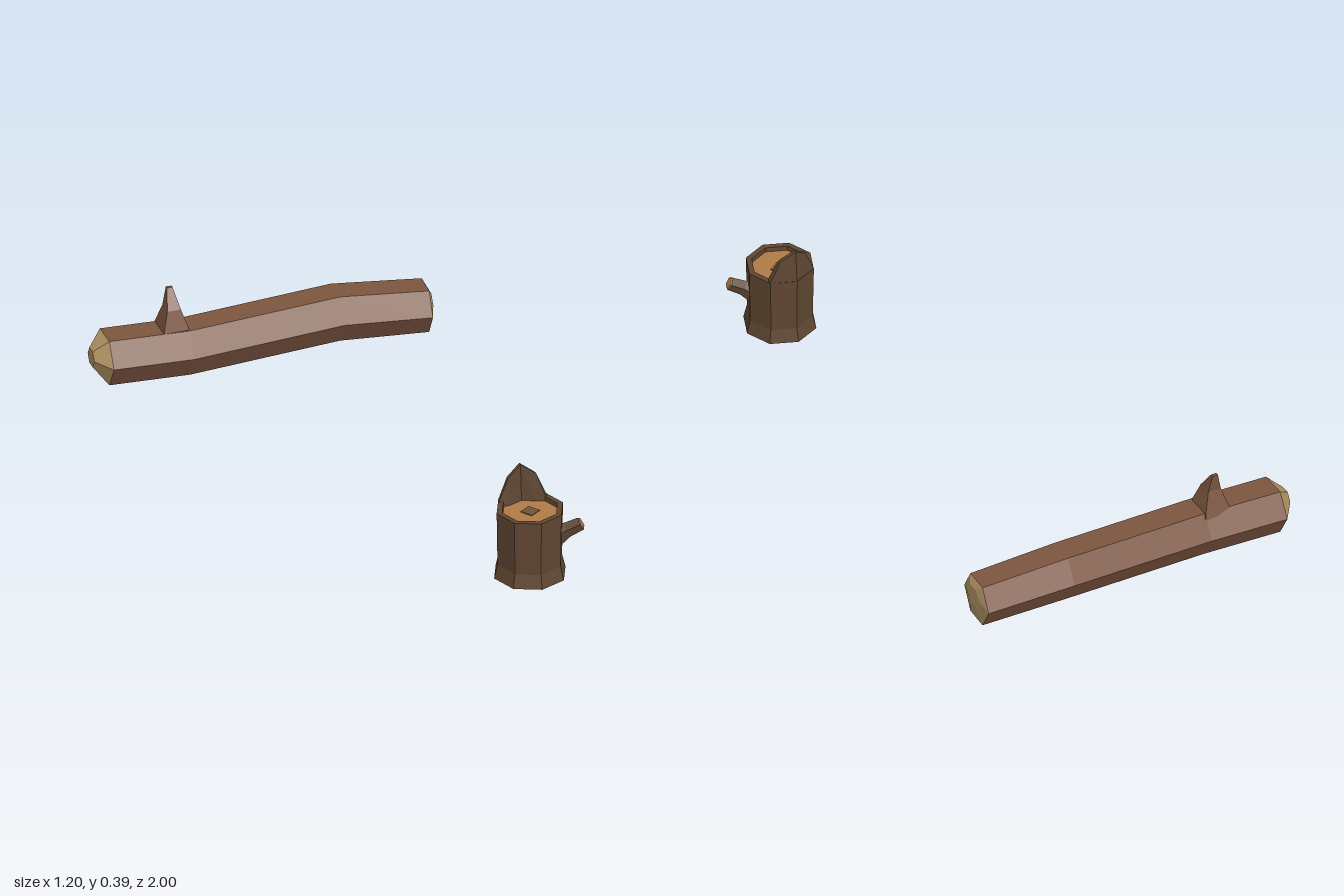
import * as THREE from 'three';

const mat = (color) => new THREE.MeshStandardMaterial({ color, flatShading: true });
const LOG_BARK = mat(0x7d5640), LOG_WOOD = mat(0xb39565);
const STUMP_BARK = mat(0x5f4632), STUMP_WOOD = mat(0xb07c46), HEART = mat(0x705238);

const V = (x, y, z) => new THREE.Vector3(x, y, z);

// Loop of n points around c; u x v points along the sweep direction
function ring(c, u, v, n, phase = 0) {
  return Array.from({ length: n }, (_, j) => {
    const a = phase + (j / n) * Math.PI * 2;
    return c.clone().addScaledVector(u, Math.cos(a)).addScaledVector(v, Math.sin(a));
  });
}

// Faceted skin over successive loops, with optional flat ends
function loft(name, material, rings, startCap = false, endCap = false) {
  const pos = [];
  const tri = (...pts) => pts.forEach((p) => pos.push(p.x, p.y, p.z));
  const n = rings[0].length;
  for (let i = 0; i < rings.length - 1; i++) {
    for (let j = 0; j < n; j++) {
      const k = (j + 1) % n, A = rings[i], B = rings[i + 1];
      tri(A[j], A[k], B[k]);
      tri(A[j], B[k], B[j]);
    }
  }
  const cap = (r, flip) => {
    for (let j = 1; j < n - 1; j++) flip ? tri(r[0], r[j + 1], r[j]) : tri(r[0], r[j], r[j + 1]);
  };
  if (startCap) cap(rings[0], true);
  if (endCap) cap(rings[rings.length - 1], false);
  const geo = new THREE.BufferGeometry();
  geo.setAttribute('position', new THREE.Float32BufferAttribute(pos, 3));
  geo.computeVertexNormals();
  const mesh = new THREE.Mesh(geo, material);
  mesh.name = name;
  return mesh;
}

function createLog() {
  const log = new THREE.Group();
  log.name = 'log';
  const hex = (x, y, z, r, skew = 0) =>
    ring(V(x, y, z), V(0, r, 0), V(skew, 0, r), 6, Math.PI / 6);

  // Gently bent six-sided trunk
  const trunk = [
    hex(-0.55, 0.09, -0.905, 0.097),
    hex(-0.27, 0.09, -0.885, 0.097),
    hex(0.27, 0.114, -0.9, 0.097),
    hex(0.582, 0.096, -0.877, 0.091, -0.005),
  ];
  log.add(loft('trunk', LOG_BARK, trunk));

  // Cut ends: a blunt point on one side, a shallow dome on the other
  log.add(loft('pointedEnd', LOG_WOOD, [hex(-0.6, 0.1, -0.9, 0.034), trunk[0]], true, false));
  log.add(loft('cutEnd', LOG_WOOD, [trunk[3], hex(0.595, 0.115, -0.874, 0.04)], false, true));

  // Hooked dead branch, wide at the foot
  const quad = (x, y, z, rx, rz) =>
    ring(V(x, y, z), V(0, 0, rz * Math.SQRT2), V(rx * Math.SQRT2, 0, 0), 4, Math.PI / 4);
  log.add(loft('deadBranch', LOG_BARK, [
    quad(-0.315, 0.155, -0.892, 0.05, 0.055),
    quad(-0.315, 0.185, -0.892, 0.042, 0.045),
    quad(-0.316, 0.245, -0.892, 0.024, 0.026),
    quad(-0.316, 0.31, -0.917, 0.01, 0.006),
  ], true, true));
  return log;
}

function createStump() {
  const stump = new THREE.Group();
  stump.name = 'stump';
  const cx = 0.345, cz = 0.868;
  const oct = (y, r) => ring(V(cx, y, cz), V(0, 0, r), V(r, 0, 0), 8);

  // Flared bark wall, its rim and the lip inside
  stump.add(loft('barkWall', STUMP_BARK, [
    oct(0.03, 0.127), oct(0.08, 0.115), oct(0.278, 0.118), oct(0.278, 0.098), oct(0.255, 0.096),
  ], true, false));

  // Sawn face and its heartwood
  const face = new THREE.Mesh(new THREE.CylinderGeometry(0.097, 0.097, 0.01, 8), STUMP_WOOD);
  face.name = 'sawnFace';
  face.position.set(cx, 0.257, cz);
  const heart = new THREE.Mesh(new THREE.BoxGeometry(0.046, 0.004, 0.046), HEART);
  heart.name = 'heartwood';
  heart.position.set(cx + 0.003, 0.263, cz - 0.004);
  heart.rotation.y = 0.6;
  stump.add(face, heart);

  // Splinter standing up from the back of the rim
  const columns = [[-0.084, 0.28], [-0.05, 0.36], [0, 0.395], [0.05, 0.36], [0.084, 0.28]];
  stump.add(loft('splinter', STUMP_BARK, columns.map(([dx, top]) => {
    const x = cx + dx, z = cz - 0.118 + Math.abs(dx) * 0.41;
    const lean = (top - 0.278) * 0.09;
    return [V(x, top, z + lean), V(x, top, z + lean + 0.012), V(x, 0.255, z + 0.034), V(x, 0.255, z)];
  }), true, true));

  // Short sawn-off branch rising to the side
  const dir = V(0.07, 0.045, 0.025).normalize();
  const side = V(0, 1, 0).cross(dir).normalize();
  const up = dir.clone().cross(side);
  const loop = (c, r) =>
    ring(c, side.clone().multiplyScalar(r), up.clone().multiplyScalar(r), 5, 0.3);
  const tip = loop(V(0.508, 0.219, 0.924), 0.024);
  stump.add(loft('stub', STUMP_BARK, [
    loop(V(0.42, 0.168, 0.893), 0.042), loop(V(0.465, 0.196, 0.909), 0.027), tip,
  ], true, false));
  stump.add(loft('stubEnd', STUMP_WOOD, [
    tip, loop(V(0.51, 0.22, 0.925), 0.02),
  ], false, true));
  return stump;
}

export function createModel() {
  const model = new THREE.Group();
  model.name = 'logAndStump';
  model.add(createLog(), createStump());
  return model;
}
